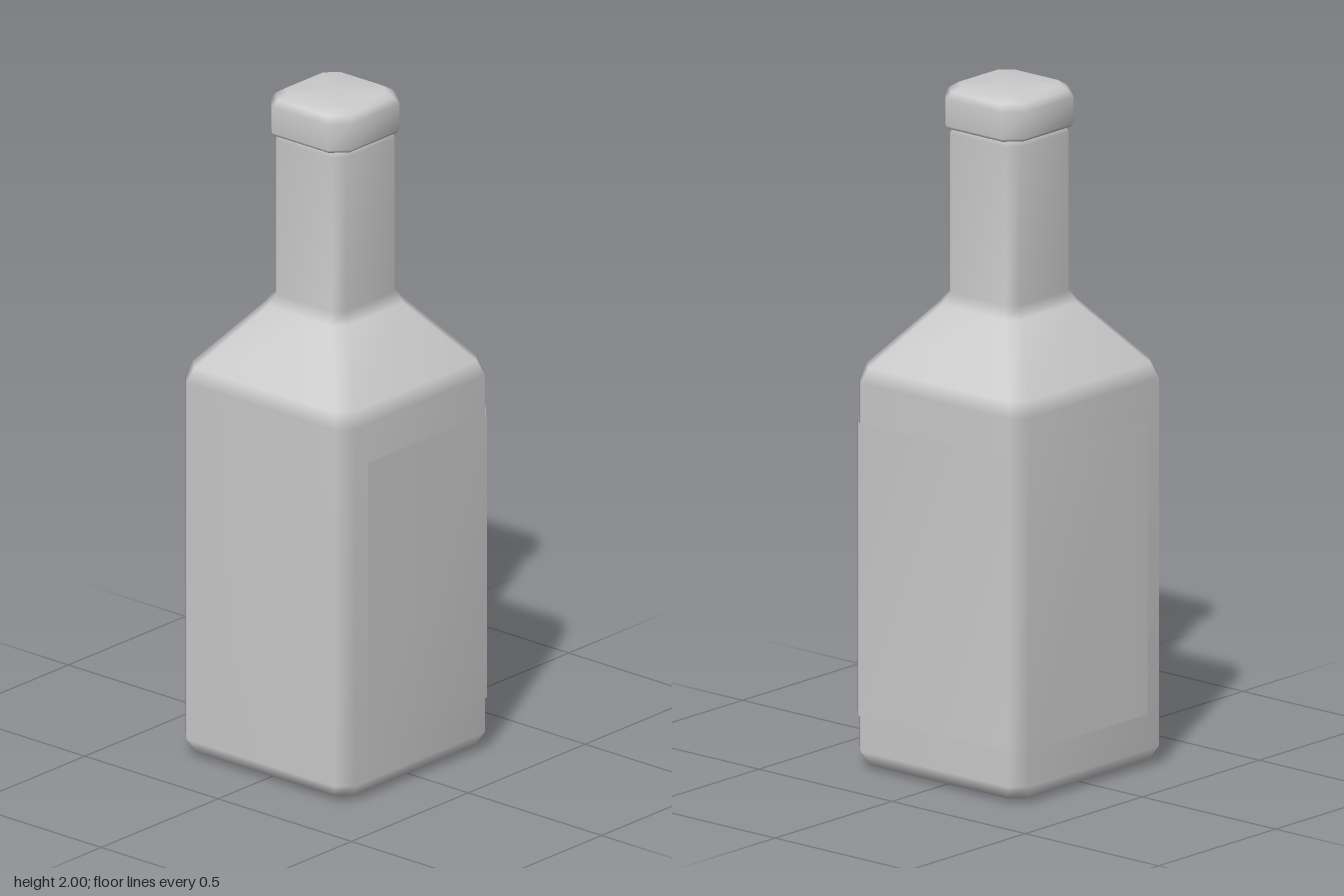
import * as THREE from 'three';

const makeMaterial = (side = THREE.FrontSide) =>
  new THREE.MeshStandardMaterial({ color: 0xcccccc, side });

// Square with cut corners, running from +x towards -z
function chamferedSquare(half, cut) {
  const c = half - cut;
  return [
    [half, c], [half, -c], [c, -half], [-c, -half],
    [-half, -c], [-half, c], [-c, half], [c, half],
  ];
}

// Skin a stack of outlines; each level is { y, points }
function skin(levels, closed) {
  const n = levels[0].points.length;
  const positions = [], index = [];
  for (const { y, points } of levels) {
    for (const [x, z] of points) positions.push(x, y, z);
  }
  for (let i = 0; i < levels.length - 1; i++) {
    for (let j = 0; j < (closed ? n : n - 1); j++) {
      const k = (j + 1) % n;
      const a = i * n + j, b = i * n + k;
      index.push(a, b, b + n, a, b + n, a + n);
    }
  }
  if (closed) {
    // Flat ends
    const last = levels.length - 1;
    const bottom = positions.length / 3, top = bottom + 1;
    positions.push(0, levels[0].y, 0, 0, levels[last].y, 0);
    for (let j = 0; j < n; j++) {
      const k = (j + 1) % n;
      index.push(bottom, k, j, top, last * n + j, last * n + k);
    }
  }
  const geometry = new THREE.BufferGeometry();
  geometry.setAttribute('position', new THREE.Float32BufferAttribute(positions, 3));
  geometry.setIndex(index);
  geometry.computeVertexNormals();
  return geometry;
}

// Closed solid from [y, half width, corner cut] rows
const squareLathe = (rows) =>
  skin(rows.map(([y, half, cut]) => ({ y, points: chamferedSquare(half, cut) })), true);

export function createModel() {
  const group = new THREE.Group();
  const add = (name, geometry, side) => {
    const mesh = new THREE.Mesh(geometry, makeMaterial(side));
    mesh.name = name;
    group.add(mesh);
  };

  // Body, sloping shoulder and neck
  add('bottle', squareLathe([
    [0, 0.262, 0.035],
    [0.015, 0.297, 0.04],
    [0.055, 0.318, 0.04],
    [1.135, 0.318, 0.04],
    [1.18, 0.302, 0.04],
    [1.36, 0.152, 0.033],
    [1.395, 0.133, 0.03],
    [1.86, 0.133, 0.03],
    [1.885, 0.122, 0.03],
  ]));

  // Stopper with bevelled top
  add('cap', squareLathe([
    [1.877, 0.142, 0.042],
    [1.887, 0.15, 0.045],
    [1.965, 0.15, 0.045],
    [1.985, 0.138, 0.043],
    [2, 0.115, 0.035],
  ]));

  // Label wrapped around both sides and the back
  const wrap = [
    [0.322, 0.225], [0.322, -0.282], [0.282, -0.322],
    [-0.282, -0.322], [-0.322, -0.282], [-0.322, 0.225],
  ];
  add('label', skin([{ y: 0.16, points: wrap }, { y: 1.02, points: wrap }], false),
    THREE.DoubleSide);

  return group;
}
